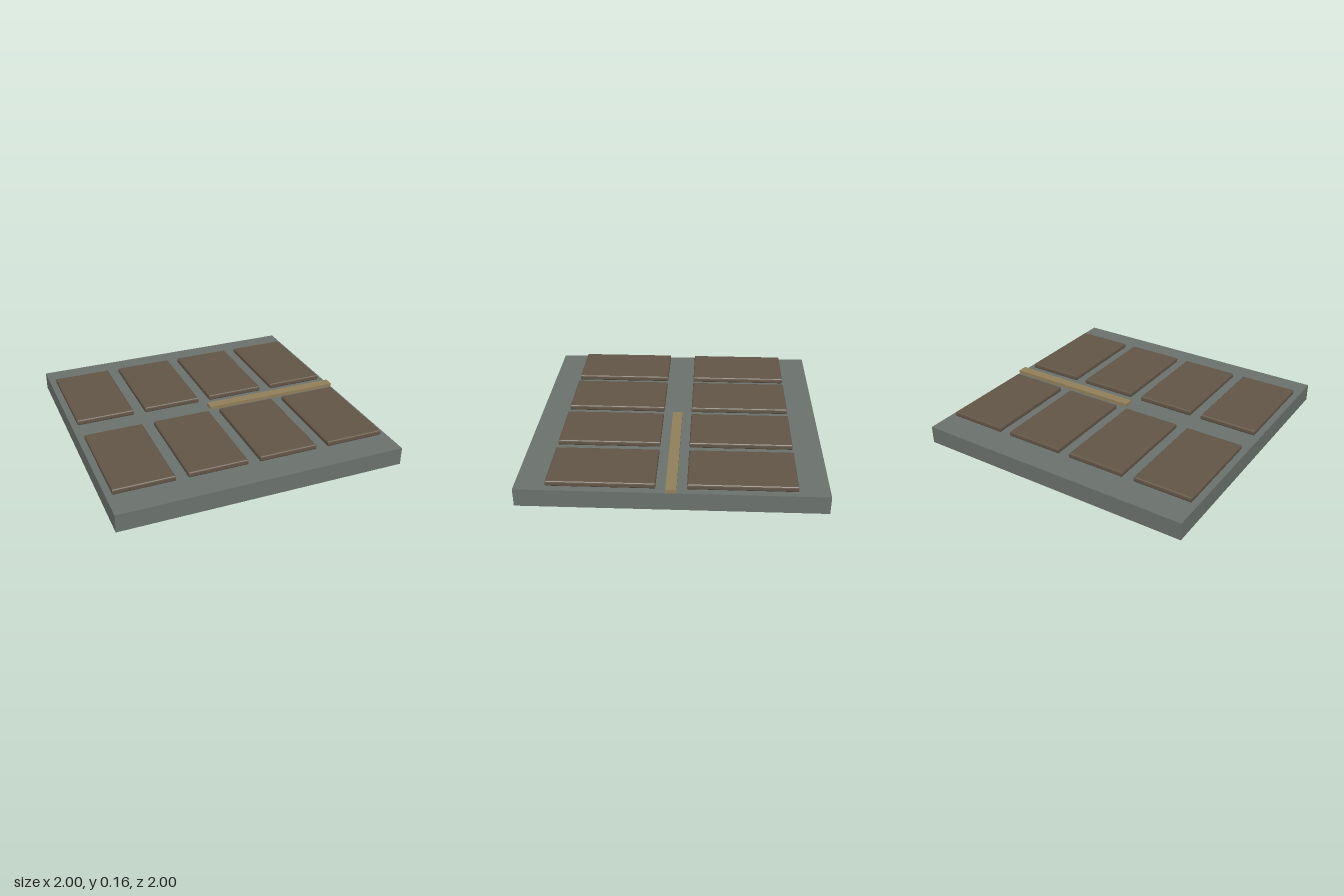
import * as THREE from 'three';

const SLAB_H = 0.125;

// Rectangular panel lying flat, bevelled along its top and bottom rims
function panelGeometry(width, height, depth, bevel) {
  const w = width / 2 - bevel, d = depth / 2 - bevel;
  const outline = new THREE.Shape([
    new THREE.Vector2(-w, -d), new THREE.Vector2(w, -d),
    new THREE.Vector2(w, d), new THREE.Vector2(-w, d),
  ]);
  const geometry = new THREE.ExtrudeGeometry(outline, {
    depth: height - 2 * bevel,
    bevelEnabled: true,
    bevelThickness: bevel,
    bevelSize: bevel,
    bevelSegments: 3,
  });
  geometry.translate(0, 0, bevel);
  geometry.rotateX(-Math.PI / 2);
  return geometry;
}

export function createModel() {
  const model = new THREE.Group();
  model.name = 'panelledSlab';
  const slabMaterial = new THREE.MeshStandardMaterial({ color: 0x6a716c });
  const panelMaterial = new THREE.MeshStandardMaterial({ color: 0x625546, flatShading: true });
  const stripMaterial = new THREE.MeshStandardMaterial({ color: 0x917f59 });

  // Base slab
  const slab = new THREE.Mesh(new THREE.BoxGeometry(2, SLAB_H, 2), slabMaterial);
  slab.name = 'slab';
  slab.position.y = SLAB_H / 2;
  model.add(slab);

  // Two rows of four raised panels
  const panels = new THREE.Group();
  panels.name = 'panels';
  const geometry = panelGeometry(0.415, 0.04, 0.7, 0.012);
  for (const z of [-0.45, 0.45]) {
    for (const x of [-0.75, -0.25, 0.25, 0.75]) {
      const panel = new THREE.Mesh(geometry, panelMaterial);
      panel.name = 'panel';
      panel.position.set(x, SLAB_H, z);
      panels.add(panel);
    }
  }
  model.add(panels);

  // Raised strip from the centre to the left edge
  const strip = new THREE.Mesh(new THREE.BoxGeometry(1, 0.025, 0.07), stripMaterial);
  strip.name = 'strip';
  strip.position.set(0.5, SLAB_H + 0.0125, 0);
  model.add(strip);

  return model;
}
